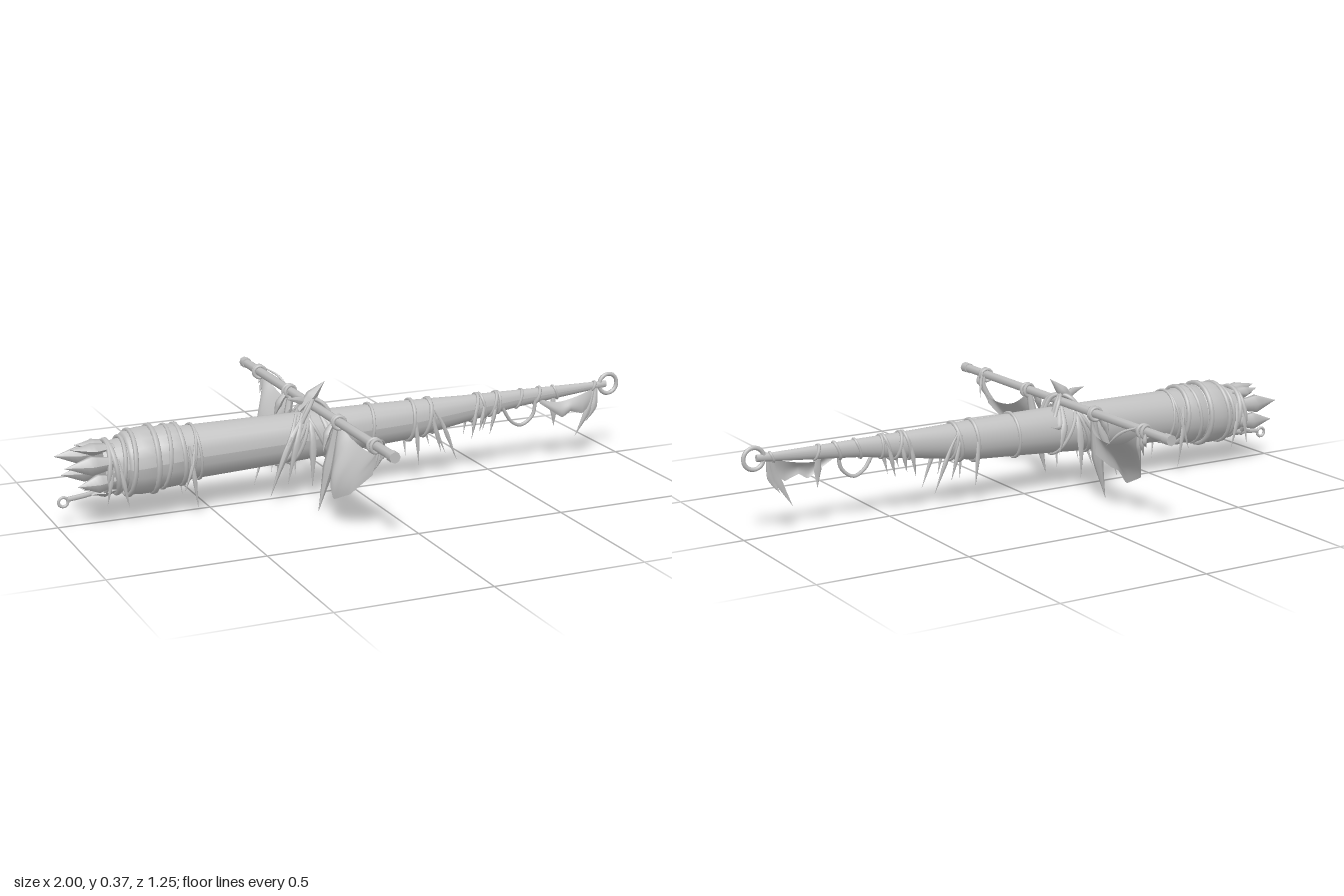
import * as THREE from 'three';

const V = (x, y, z) => new THREE.Vector3(x, y, z);
const curveOf = (pts, closed = false) => new THREE.CatmullRomCurve3(pts.map(p => V(...p)), closed);

// spar sections along x: [x, centre y, half height, half width]
const SPAR = [
  [-0.86, 0.18, 0.076, 0.07], [-0.78, 0.187, 0.085, 0.077], [-0.6, 0.196, 0.088, 0.075],
  [-0.2, 0.204, 0.08, 0.066], [0, 0.21, 0.073, 0.06], [0.2, 0.214, 0.066, 0.05],
  [0.4, 0.227, 0.047, 0.032], [0.6, 0.241, 0.03, 0.02], [0.95, 0.255, 0.011, 0.008],
];
function section(x) {
  let i = 0;
  while (i < SPAR.length - 2 && x > SPAR[i + 1][0]) i++;
  const a = SPAR[i], b = SPAR[i + 1];
  const t = THREE.MathUtils.clamp((x - a[0]) / (b[0] - a[0]), 0, 1);
  return [1, 2, 3].map(k => a[k] + (b[k] - a[k]) * t);
}
function onSpar(x, angle, k = 1) {
  const [cy, ry, rz] = section(x);
  return [x, cy + Math.cos(angle) * ry * k, Math.sin(angle) * rz * k];
}

export function createModel() {
  const model = new THREE.Group();
  const wood = new THREE.MeshStandardMaterial({ color: 0xc0c0c0, side: THREE.DoubleSide });
  wood.name = 'weatheredGrey';

  function add(name, geometry) {
    const mesh = new THREE.Mesh(geometry, wood);
    mesh.name = name;
    model.add(mesh);
    return mesh;
  }

  // oval sleeve following the spar, rings = [x, scale]
  function sleeve(name, rings) {
    const g = new THREE.CylinderGeometry(1, 1, 1, 20, rings.length - 1);
    const p = g.attributes.position;
    for (let i = 0; i < p.count; i++) {
      const r = rings[Math.round((p.getY(i) + 0.5) * (rings.length - 1))];
      const [cy, ry, rz] = section(r[0]);
      p.setXYZ(i, r[0], cy - p.getX(i) * ry * r[1], p.getZ(i) * rz * r[1]);
    }
    g.computeVertexNormals();
    add(name, g);
  }

  // rope loop around the spar
  function band(x, radius = 0.006, tilt = 0, k = 1.03) {
    const pts = [];
    for (let i = 0; i < 14; i++) {
      const a = i / 14 * Math.PI * 2;
      pts.push(onSpar(x + tilt * Math.cos(a), a, k));
    }
    add('ropeBand', new THREE.TubeGeometry(curveOf(pts, true), 28, radius, 6, true));
  }

  // leaf-shaped strand, flattened by the factors in flat
  function strand(name, pts, width, flat = [1, 1, 0.3]) {
    const curve = curveOf(pts), n = 10, m = 6;
    const g = new THREE.TubeGeometry(curve, n, width, m);
    const p = g.attributes.position;
    for (let i = 0; i <= n; i++) {
      const c = curve.getPointAt(i / n), t = i / n;
      const w = Math.max(0.03, t < 0.5 ? 0.5 + t : 2 * (1 - t));
      for (let j = 0; j <= m; j++) {
        const q = i * (m + 1) + j;
        p.setXYZ(q, c.x + (p.getX(q) - c.x) * w * flat[0],
          c.y + (p.getY(q) - c.y) * w * flat[1], c.z + (p.getZ(q) - c.z) * w * flat[2]);
      }
    }
    g.computeVertexNormals();
    add(name, g);
  }

  // cloth stretched between a top curve and a ragged bottom polyline
  function cloth(name, top, bottom, bulge) {
    const up = curveOf(top), down = new THREE.CurvePath();
    for (let i = 1; i < bottom.length; i++) down.add(new THREE.LineCurve3(V(...bottom[i - 1]), V(...bottom[i])));
    const g = new THREE.PlaneGeometry(1, 1, 24, 8), p = g.attributes.position;
    for (let i = 0; i < p.count; i++) {
      const u = p.getX(i) + 0.5, v = 0.5 - p.getY(i);
      const q = up.getPoint(u).lerp(down.getPoint(u), v);
      q.addScaledVector(bulge, Math.sin(Math.PI * u) * Math.sin(Math.PI * v * 0.8));
      p.setXYZ(i, q.x, q.y, q.z);
    }
    g.computeVertexNormals();
    add(name, g);
  }

  // main spar and wrapped collar
  sleeve('mainSpar', SPAR.map(s => [s[0], 1]));
  sleeve('wideCollar', [[-0.785, 1], [-0.78, 1.17], [-0.74, 1.24], [-0.7, 1.24], [-0.685, 1.13]]);
  sleeve('narrowCollar', [[-0.7, 1], [-0.69, 1.12], [-0.65, 1.16], [-0.61, 1.14], [-0.6, 1]]);
  for (const [x, r, tilt, k] of [
    [-0.85, 0.008, 0.01, 1.08], [-0.825, 0.009, -0.012, 1.08], [-0.8, 0.007, 0.008, 1.05],
    [-0.77, 0.008, 0.008, 1.2], [-0.695, 0.01, 0, 1.21], [-0.655, 0.007, 0.01, 1.14], [-0.605, 0.009, -0.006, 1.1],
    [-0.57, 0.005, 0.012], [-0.55, 0.005, -0.008], [-0.22, 0.006, 0.05], [-0.2, 0.006, 0.03],
    [-0.14, 0.006, -0.04], [0.05, 0.006, 0.005], [0.2, 0.007, 0.005], [0.26, 0.007, 0.012], [0.275, 0.005, -0.01],
    [0.44, 0.006, 0.01], [0.47, 0.006, -0.01], [0.51, 0.006, 0.012], [0.53, 0.005, 0],
    [0.61, 0.005, 0.01], [0.68, 0.006, 0.01], [0.75, 0.005, -0.008], [0.9, 0.005, 0.006],
  ]) band(x, r, tilt, k);

  // broken butt end: splayed splinters around the rim
  for (const [angle, x, width] of [
    [0.35, -0.96, 0.036], [1.15, -0.99, 0.036], [1.95, -0.95, 0.034], [2.7, -0.9, 0.03],
    [-0.4, -0.93, 0.034], [-1.15, -0.985, 0.036], [-1.95, -0.965, 0.034], [-2.7, -0.91, 0.03],
  ]) {
    const s = Math.abs(Math.sin(angle)), c = Math.abs(Math.cos(angle));
    const a = onSpar(-0.82, angle, 0.92), b = onSpar(-0.88, angle, 1), d = onSpar(x, angle, 1.08);
    strand('splinter', [a, b, d], width, [1, 0.25 + 0.75 * s, 0.25 + 0.75 * c]);
  }

  // end rings
  const tipRing = add('tipRing', new THREE.TorusGeometry(0.034, 0.007, 8, 24));
  tipRing.position.set(0.959, 0.255, 0);
  const buttRing = add('buttRing', new THREE.TorusGeometry(0.015, 0.005, 8, 18));
  buttRing.position.set(-0.98, 0.085, 0);
  add('buttHook', new THREE.TubeGeometry(
    curveOf([[-0.84, 0.115, 0], [-0.9, 0.1, 0], [-0.965, 0.092, 0]]), 12, 0.008, 6));

  // cross yard with thicker ends
  const yard = add('crossYard', new THREE.CylinderGeometry(0.015, 0.015, 1.25, 8));
  yard.rotation.x = Math.PI / 2;
  yard.position.set(-0.14, 0.3, 0);

  // lashing where the yard crosses the spar
  for (const s of [-1, 1]) {
    for (const w of [0.02, 0.032]) {
      add('yardLashing', new THREE.TubeGeometry(curveOf([
        [-0.2, 0.26, -w * s * 1.4], [-0.165, 0.31, -w * s], [-0.14, 0.323, 0],
        [-0.115, 0.31, w * s], [-0.09, 0.26, w * s * 1.4],
      ]), 20, 0.007, 6));
    }
  }
  strand('topTuft', [[-0.19, 0.29, 0], [-0.14, 0.34, 0], [-0.1, 0.378, 0]], 0.02, [1, 1, 0.9]);
  strand('topTuft', [[-0.14, 0.3, 0], [-0.19, 0.325, 0.005], [-0.24, 0.335, 0.01]], 0.015);

  for (const s of [-1, 1]) {
    // yard end
    const cap = add('yardEnd', new THREE.CylinderGeometry(0.018, 0.018, 0.03, 8));
    cap.rotation.x = Math.PI / 2;
    cap.position.set(-0.14, 0.3, 0.61 * s);

    // torn sail
    cloth('tornSail',
      [[-0.13, 0.295, 0.48 * s], [-0.105, 0.25, 0.42 * s], [-0.1, 0.235, 0.33 * s], [-0.11, 0.25, 0.24 * s], [-0.14, 0.295, 0.19 * s]],
      [[-0.14, 0.2, 0.465 * s], [-0.17, 0.125, 0.4 * s], [-0.18, 0.08, 0.3 * s], [-0.18, 0.115, 0.265 * s], [-0.17, 0.125, 0.235 * s], [-0.15, 0.16, 0.195 * s]],
      V(-0.035, 0, 0));
    strand('sailStrip', [[-0.14, 0.295, 0.195 * s], [-0.165, 0.15, 0.185 * s], [-0.2, 0.004, 0.181 * s]], 0.02, [1, 1, 0.8]);
    strand('sailStrip', [[-0.15, 0.3, 0.195 * s], [-0.175, 0.27, 0.2 * s], [-0.195, 0.21, 0.21 * s]], 0.014, [0.8, 1, 1]);
    strand('looseCord', [[-0.12, 0.31, 0.47 * s], [-0.09, 0.29, 0.43 * s], [-0.06, 0.24, 0.385 * s]], 0.005, [1, 1, 1]);

    // ropes tying the sail to the yard
    for (const [z, tilt] of [[0.49, 0.01], [0.475, -0.008], [0.195, 0.008], [0.21, -0.006]]) {
      const tie = add('sailTie', new THREE.TorusGeometry(0.02, 0.006, 6, 16));
      tie.position.set(-0.14, 0.298, z * s);
      tie.rotation.y = tilt * 20;
    }
    for (const [z, y] of [[0.49, 0.22], [0.47, 0.2], [0.505, 0.25]])
      strand('tieTail', [[-0.13, 0.3, z * s], [-0.125, 0.27, z * s], [-0.14, y, (z - 0.01) * s]], 0.008, [1, 1, 1]);

    // strips hanging from the lashing along the sides of the spar
    for (const [x0, x1, y, w] of [
      [-0.18, -0.32, 0.035, 0.013], [-0.19, -0.26, 0.07, 0.012], [-0.17, -0.175, 0.05, 0.013],
      [-0.13, -0.09, 0.14, 0.012], [-0.12, -0.06, 0.235, 0.012], [-0.21, -0.29, 0.1, 0.01],
    ]) strand('lashingStrip', [
      [x0, 0.285, 0.025 * s], [x0 * 0.6 + x1 * 0.4, 0.23, 0.067 * s],
      [x0 * 0.25 + x1 * 0.75, (y + 0.23) / 2, 0.076 * s], [x1, y, 0.073 * s],
    ], w, [1, 1, 0.4]);

    // strands hanging from the rope bands: [x start, x end, y end]
    for (const [x0, x1, y] of [
      [-0.82, -0.79, 0.065], [-0.84, -0.86, 0.08], [-0.59, -0.565, 0.03], [-0.57, -0.61, 0.09],
      [0.2, 0.215, 0.07], [0.26, 0.3, 0.1], [0.275, 0.36, 0.065], [0.44, 0.42, 0.13],
      [0.47, 0.45, 0.15], [0.52, 0.49, 0.135],
    ]) {
      const a = onSpar(x0, 1.1 * s, 1.05), b = onSpar(x0 + (x1 - x0) * 0.3, 1.8 * s, 1.12);
      strand('hangingStrand', [a, b, [x1, y, b[2] * 0.95]], 0.008, [1, 1, 0.6]);
    }
  }

  // loose cord loop and ragged cloth near the tip
  add('cordLoop', new THREE.TubeGeometry(curveOf([
    [0.54, 0.22, 0.02], [0.58, 0.165, 0.015], [0.62, 0.15, 0.01], [0.66, 0.18, 0.012], [0.67, 0.24, 0.012],
  ]), 24, 0.006, 6));
  cloth('tipCloth',
    [[0.68, 0.235, 0.01], [0.75, 0.215, 0.012], [0.83, 0.225, 0.01], [0.91, 0.25, 0.006]],
    [[0.69, 0.215, 0.01], [0.77, 0.16, 0.015], [0.8, 0.18, 0.015], [0.85, 0.165, 0.012], [0.9, 0.2, 0.008]],
    V(0, 0, 0.015));
  for (const [x0, x1, y] of [[0.9, 0.83, 0.085], [0.91, 0.87, 0.13], [0.74, 0.745, 0.13]])
    strand('tipStrip', [[x0, 0.245, 0.006], [x0 * 0.7 + x1 * 0.3, 0.18, 0.012], [x1, y, 0.008]], 0.013);

  return model;
}
